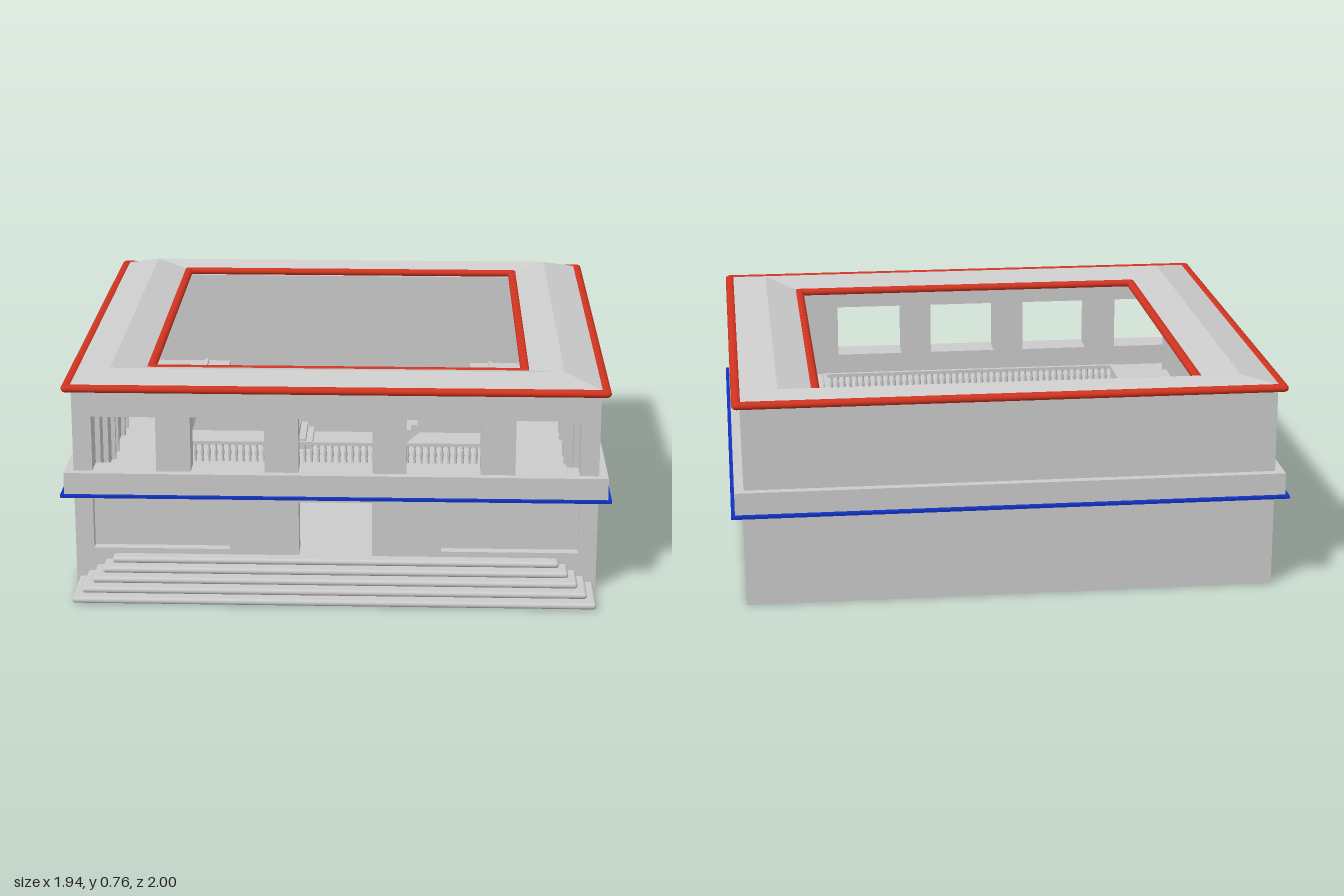
import * as THREE from 'three';
import { mergeGeometries } from 'three/addons/utils/BufferGeometryUtils.js';
import { RoundedBoxGeometry } from 'three/addons/geometries/RoundedBoxGeometry.js';

const grey = new THREE.MeshStandardMaterial({ color: 0xcccccc });
const greyThin = new THREE.MeshStandardMaterial({ color: 0xcccccc, side: THREE.DoubleSide });
const red = new THREE.MeshStandardMaterial({ color: 0xd03420 });
const blue = new THREE.MeshStandardMaterial({ color: 0x1030c0 });

// Outlines are [x0, z0, x1, z1]
const WALL = [-0.925, -0.95, 0.925, 0.79];
const INNER = [-0.84, -0.86, 0.84, 0.70];
const EAVE = [-0.94, -0.965, 0.94, 0.805];
const OPENING = [-0.67, -0.86, 0.67, 0.55];

const corners = ([x0, z0, x1, z1]) => [[x0, z0], [x1, z0], [x1, z1], [x0, z1]];
const toPoints = (pts) => pts.map(([x, y]) => new THREE.Vector2(x, y));

// Vertical prism from a plan outline with optional hole
function prism(outline, hole, y0, y1) {
  const s = new THREE.Shape(toPoints(outline));
  if (hole) s.holes.push(new THREE.Path(toPoints(hole)));
  const g = new THREE.ExtrudeGeometry(s, { depth: y1 - y0, bevelEnabled: false });
  return g.rotateX(Math.PI / 2).translate(0, y1, 0);
}
const frame = (outer, inner, y0, y1) => prism(corners(outer), corners(inner), y0, y1);

function box(x0, y0, z0, x1, y1, z1) {
  return new THREE.BoxGeometry(x1 - x0, y1 - y0, z1 - z0)
    .translate((x0 + x1) / 2, (y0 + y1) / 2, (z0 + z1) / 2);
}

// Flat-shaded skin through successive rectangular loops [x0, z0, x1, z1, y]
function loopSkin(loops) {
  const pos = [], idx = [];
  loops.forEach((l) => corners(l).forEach(([x, z]) => pos.push(x, l[4], z)));
  for (let i = 0; i < loops.length - 1; i++) {
    for (let j = 0; j < 4; j++) {
      const a = i * 4 + j, b = i * 4 + (j + 1) % 4;
      idx.push(a, a + 4, b, b, a + 4, b + 4);
    }
  }
  let g = new THREE.BufferGeometry();
  g.setAttribute('position', new THREE.Float32BufferAttribute(pos, 3));
  g.setIndex(idx);
  g = g.toNonIndexed();
  g.computeVertexNormals();
  return g;
}

// Rounded trim running around a rectangle
function trim(rect, y, r) {
  const c = corners(rect), parts = [];
  c.forEach(([x, z], i) => {
    const [x2, z2] = c[(i + 1) % 4];
    const bar = new THREE.CylinderGeometry(r, r, Math.hypot(x2 - x, z2 - z), 12).rotateZ(Math.PI / 2);
    if (x === x2) bar.rotateY(Math.PI / 2);
    parts.push(bar.translate((x + x2) / 2, 0, (z + z2) / 2));
    parts.push(new THREE.SphereGeometry(r, 12, 8).translate(x, 0, z));
  });
  return mergeGeometries(parts).scale(1, 0.75, 1).translate(0, y, 0);
}

export function createModel() {
  const model = new THREE.Group();
  const add = (name, geometry, material = grey) => {
    const m = new THREE.Mesh(geometry, material);
    m.name = name;
    model.add(m);
    return m;
  };

  // Side and back walls
  add('sideAndBackWalls', prism([
    [-0.925, -0.95], [0.925, -0.95], [0.925, 0.70], [0.84, 0.70],
    [0.84, -0.86], [-0.84, -0.86], [-0.84, 0.70], [-0.925, 0.70]], null, 0, 0.71));

  // Front wall with upper windows, doorway and two wide panels
  const front = new THREE.Shape(toPoints(corners([-0.925, 0, 0.925, 0.71])));
  const openings = [[-0.13, 0.11, 0.13, 0.31], [-0.86, 0.13, -0.375, 0.325], [0.375, 0.13, 0.86, 0.325]];
  for (const x of [-0.745, -0.38, 0, 0.38, 0.745]) {
    const half = Math.abs(x) > 0.7 ? 0.113 : 0.13;
    openings.push([x - half, 0.42, x + half, 0.62]);
  }
  openings.forEach((o) => front.holes.push(new THREE.Path(toPoints(corners(o)))));
  add('frontWall', new THREE.ExtrudeGeometry(front, { depth: 0.09, bevelEnabled: false }).translate(0, 0, 0.70));
  for (const s of [-1, 1]) {
    add('recessedPanel', box(-0.25, 0.12, 0.71, 0.25, 0.33, 0.755).translate(s * 0.6175, 0, 0));
  }

  // Outer ledge and blue band
  add('ledge', frame([-0.957, -0.98, 0.957, 0.82], WALL, 0.342, 0.42));
  add('blueBand', frame([-0.97, -1, 0.97, 0.835], WALL, 0.333, 0.342), blue);

  // Roof with ridge, ceiling and red trims
  add('roof', loopSkin([[...EAVE, 0.733], [-0.8, -0.91, 0.8, 0.675, 0.765], [...OPENING, 0.733]]), greyThin);
  add('ceiling', loopSkin([[...EAVE, 0.715], [...OPENING, 0.715]]), greyThin);
  add('outerRoofTrim', trim(EAVE, 0.727, 0.018), red);
  add('innerRoofTrim', trim(OPENING, 0.727, 0.018), red);

  // Courtyard floor with sunken pool
  add('courtyardFloor', loopSkin([
    [...INNER, 0.03], [-0.205, -0.39, 0.205, 0.07, 0.03],
    [-0.18, -0.36, 0.175, 0.03, 0.005], [0, -0.16, 0, -0.16, 0.005]]), greyThin);

  // Gallery floor, open over the courtyard and the stairs
  add('galleryFloor', prism([
    [-0.84, -0.86], [-0.53, -0.86], [-0.53, -0.62], [-0.585, -0.62], [-0.585, 0.43], [0.585, 0.43],
    [0.585, -0.62], [0.53, -0.62], [0.53, -0.86], [0.84, -0.86], [0.84, 0.70], [-0.84, 0.70]], null, 0.31, 0.34));

  // Balustrade on three sides
  const post = new THREE.LatheGeometry(toPoints([
    [0.006, 0], [0.006, 0.008], [0.004, 0.015], [0.008, 0.03], [0.004, 0.052], [0.006, 0.065]]), 6);
  const posts = [];
  for (let i = 0; i <= 42; i++) {
    const z = -0.615 + i * 0.0248;
    for (const x of [-0.578, 0.578]) posts.push(post.clone().translate(x, 0.34, z));
  }
  for (let i = 1; i < 46; i++) posts.push(post.clone().translate(-0.578 + i * 0.02513, 0.34, 0.435));
  add('balusters', mergeGeometries(posts));
  add('handrail', mergeGeometries([
    box(-0.587, 0.405, -0.62, -0.571, 0.418, 0.443),
    box(0.571, 0.405, -0.62, 0.587, 0.418, 0.443),
    box(-0.587, 0.405, 0.427, 0.587, 0.418, 0.443)]));

  // Twin stairs descending toward the middle of the back wall
  const steps = 14, run = 0.38 / steps, rise = 0.31 / steps;
  const profile = [[0.53, 0.34]];
  for (let i = 0; i < steps; i++) {
    const x = 0.53 - (i + 1) * run, y = 0.34 - i * rise;
    profile.push([x, y], [x, y - rise]);
  }
  profile.push([0.20, 0.03], [0.53, 0.30]);
  for (const s of [-1, 1]) {
    const shape = new THREE.Shape(toPoints(profile.map(([x, y]) => [s * x, y])));
    add('courtyardStair', new THREE.ExtrudeGeometry(shape, { depth: 0.23, bevelEnabled: false }).translate(0, 0, -0.855));
  }

  // Gallery doors along both side walls
  for (const s of [-1, 1]) {
    for (let i = 0; i < 5; i++) {
      const door = new THREE.Group();
      door.name = 'galleryDoor';
      const parts = [
        box(-0.01, 0.34, -0.09, 0.003, 0.6, 0.09),
        box(-0.01, 0.34, -0.105, 0.018, 0.615, -0.085),
        box(-0.01, 0.34, 0.085, 0.018, 0.615, 0.105),
        box(-0.01, 0.595, -0.105, 0.018, 0.615, 0.105)];
      door.add(new THREE.Mesh(mergeGeometries(parts), grey));
      door.position.set(s * 0.84, 0, -0.6 + i * 0.28);
      if (s > 0) door.rotation.y = Math.PI;
      model.add(door);
    }
  }

  // Rounded entrance steps outside, plain steps inside
  for (let i = 0; i < 5; i++) {
    const half = 0.915 - i * 0.031, zFront = 1 - i * 0.041, y1 = 0.022 * (i + 1);
    const g = new RoundedBoxGeometry(half * 2, 0.022, zFront - 0.77, 3, 0.0105);
    add('entranceStep', g.translate(0, y1 - 0.011, (zFront + 0.77) / 2));
  }
  for (let i = 0; i < 4; i++) {
    const half = 0.43 - i * 0.04;
    add('innerStep', box(-half, 0.02, 0.39 + i * 0.05, half, 0.05 + i * 0.02, 0.70));
  }
  return model;
}
